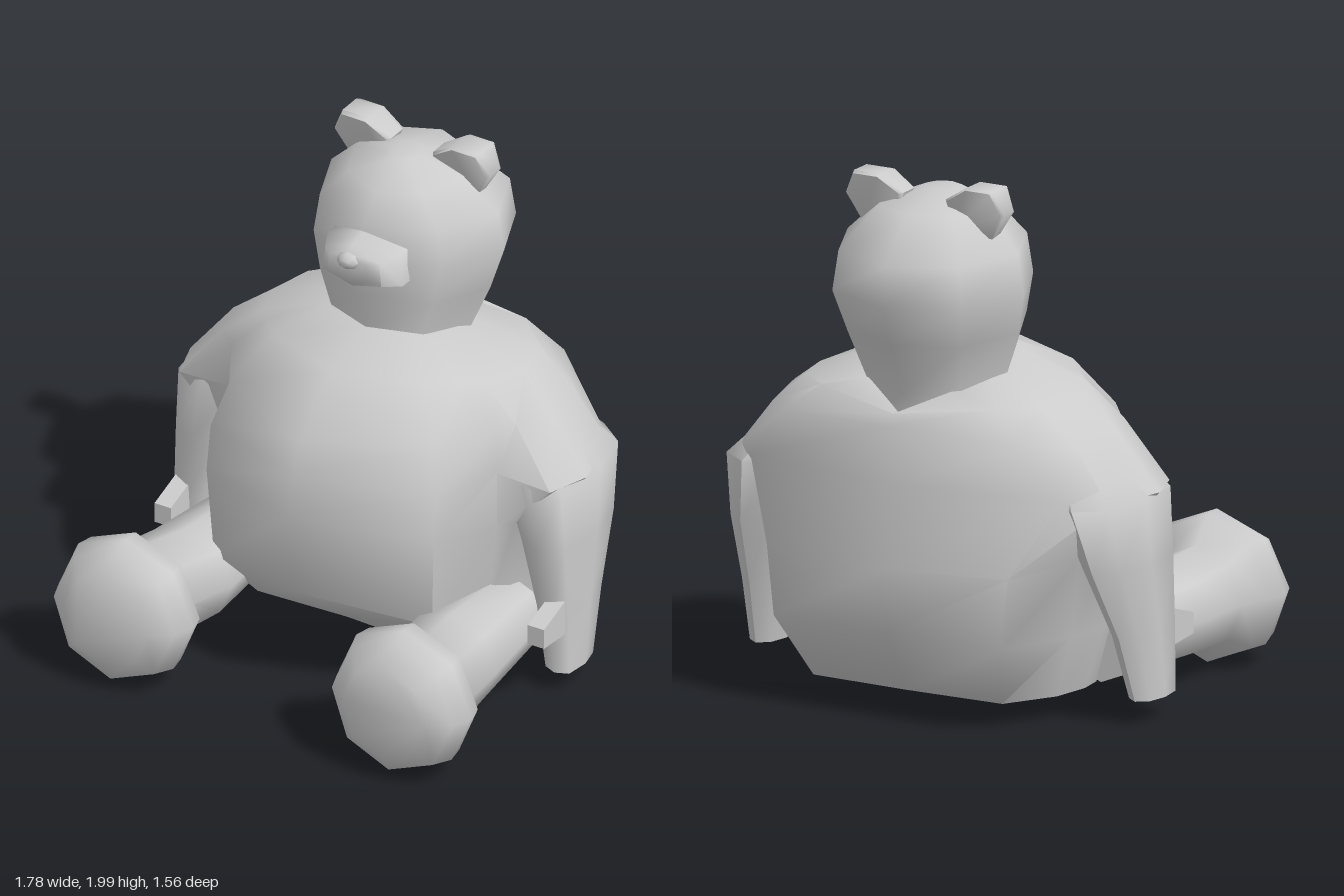
import * as THREE from 'three';
import { toCreasedNormals } from 'three/addons/utils/BufferGeometryUtils.js';

const material = new THREE.MeshStandardMaterial({ color: 0xcccccc });

// Skin closed rings of [x, y, z] points, counter-clockwise seen from the last ring; side -1 mirrors in x.
function loft(name, rings, side = 1, crease = 1.2) {
  const n = rings[0].length, pos = [], index = [];
  for (const ring of rings) {
    const pts = side < 0 ? [...ring].reverse() : ring;
    for (const [x, y, z] of pts) pos.push(x * side, y, z);
  }
  for (let r = 0; r < rings.length - 1; r++) {
    for (let i = 0; i < n; i++) {
      const a = r * n + i, b = r * n + (i + 1) % n;
      index.push(a, b, b + n, a, b + n, a + n);
    }
  }
  // End caps
  const last = (rings.length - 1) * n;
  for (let i = 1; i < n - 1; i++) index.push(0, i + 1, i, last, last + i, last + i + 1);
  const g = new THREE.BufferGeometry();
  g.setAttribute('position', new THREE.Float32BufferAttribute(pos, 3));
  g.setIndex(index);
  const mesh = new THREE.Mesh(toCreasedNormals(g, crease), material);
  mesh.name = name;
  return mesh;
}

// Complete a front-to-back half section on the +x side by mirroring it.
const symmetric = (half) => [...half, ...half.slice(1, -1).reverse().map(([x, y, z]) => [-x, y, z])];

// Eight-point section; point(c, s) places each corner.
const octagon = (point) => Array.from({ length: 8 }, (_, i) => {
  const t = i * Math.PI / 4;
  return point(Math.cos(t), Math.sin(t));
});

// Torso: seat, belly, then shoulders that overhang the sides, up to the neck
function makeBody() {
  const seat = [[0, 0.15, 0.05], [0.42, 0.1, 0], [0.5, 0.1, -0.08], [0.54, 0.1, -0.15],
    [0.55, 0.1, -0.25], [0.52, 0.1, -0.4], [0.4, 0.1, -0.59], [0, 0.1, -0.6]];
  const hips = [[0, 0.46, 0.44], [0.47, 0.35, 0.22], [0.56, 0.35, -0.03], [0.6, 0.35, -0.1],
    [0.63, 0.35, -0.25], [0.61, 0.35, -0.45], [0.48, 0.35, -0.74], [0, 0.35, -0.75]];
  const belly = [[0, 0.79, 0.46], [0.49, 0.72, 0.24], [0.58, 0.68, -0.05], [0.63, 0.68, -0.1],
    [0.66, 0.66, -0.25], [0.64, 0.64, -0.45], [0.51, 0.62, -0.74], [0, 0.6, -0.78]];
  const armpits = [[0, 0.95, 0.42], [0.485, 0.9, 0.22], [0.58, 0.9, -0.05], [0.8, 0.88, -0.065],
    [0.855, 0.88, -0.23], [0.79, 0.88, -0.49], [0.66, 0.9, -0.6], [0, 0.92, -0.76]];
  const shoulders = [[0, 1.07, 0.37], [0.44, 1.07, 0.16], [0.57, 1.07, -0.06], [0.63, 1.1, -0.1],
    [0.68, 1.1, -0.25], [0.64, 1.08, -0.47], [0.5, 1.1, -0.64], [0, 1.13, -0.73]];
  const collar = [[0, 1.27, 0.18], [0.33, 1.25, 0.04], [0.42, 1.23, -0.06], [0.48, 1.22, -0.12],
    [0.54, 1.2, -0.3], [0.5, 1.2, -0.47], [0.36, 1.21, -0.6], [0, 1.17, -0.7]];
  const neck = [[0, 1.33, -0.07], [0.2, 1.33, -0.1], [0.23, 1.32, -0.15], [0.25, 1.31, -0.2],
    [0.26, 1.3, -0.3], [0.25, 1.28, -0.4], [0.18, 1.25, -0.55], [0, 1.14, -0.63]];
  return loft('body', [seat, hips, belly, armpits, shoulders, collar, neck].map(symmetric));
}

function makeHead() {
  // y, half width, front z, back z, drop of the back edge
  const rings = [
    [1.26, 0.27, -0.07, -0.63, 0.2],
    [1.33, 0.28, -0.07, -0.63, 0.1],
    [1.47, 0.345, -0.05, -0.71, 0.04],
    [1.62, 0.385, -0.04, -0.78, 0.03],
    [1.77, 0.36, -0.06, -0.76, 0.03],
    [1.87, 0.23, -0.14, -0.6, -0.03],
    [1.95, 0.07, -0.27, -0.4, 0],
  ].map(([y, w, f, b, drop]) => octagon((c, s) =>
    [w * s, y - drop * (1 - c) / 2, (f + b) / 2 + c * (f - b) / 2]));
  return loft('head', rings);
}

function makeMuzzle() {
  // z and scale of the section about the muzzle centre
  const outline = [[0.155, 1.69], [0, 1.745], [-0.155, 1.69], [-0.167, 1.56], [0, 1.515], [0.167, 1.56]];
  return loft('muzzle', [[-0.12, 1], [-0.06, 1], [0.02, 0.75], [0.05, 0.5]].map(([z, k]) =>
    outline.map(([x, y]) => [x * k, 1.665 + (y - 1.665) * k, z])));
}

function makeNose() {
  return loft('nose', [[0.02, 0.7], [0.05, 1], [0.065, 0.85], [0.08, 0.4]].map(([z, k]) =>
    octagon((c, s) => [0.045 * k * c, 1.675 + 0.035 * k * s, z])));
}

function makeEar(side) {
  // Flat outline whose thickness grows towards the tip
  const outline = [[0.27, 1.8], [0.335, 1.91], [0.295, 2], [0.185, 2], [0.09, 1.94], [0.12, 1.83]];
  const face = (dir, k) => outline.map(([x, y]) => {
    const thick = 0.03 + 0.035 * (y - 1.8) / 0.2;
    return [0.21 + (x - 0.21) * k, 1.91 + (y - 1.91) * k, -0.43 + dir * thick];
  });
  return loft('ear', [face(-1, 0.92), face(-0.7, 1), face(0.7, 1), face(1, 0.92)], side);
}

function makeArm(side) {
  const arm = new THREE.Group();
  arm.name = side > 0 ? 'leftArm' : 'rightArm';
  // y, inner x, outer x, back z, front z; from hand up into the shoulder, squarer along the front
  const rings = [
    [0.1, 0.74, 0.865, -0.32, -0.09],
    [0.35, 0.7, 0.865, -0.4, -0.08],
    [0.62, 0.63, 0.86, -0.53, -0.06],
    [0.87, 0.54, 0.855, -0.6, -0.05],
    [1, 0.5, 0.72, -0.5, -0.12],
  ].map(([y, x0, x1, z0, z1]) => octagon((c, s) => {
    const k = c > 0.1 && c < 0.9 ? 1.15 : 1;
    return [(x0 + x1) / 2 + k * s * (x1 - x0) / 2, y, (z0 + z1) / 2 + k * c * (z1 - z0) / 2];
  }));
  arm.add(loft('armAndHand', rings, side));
  // Thumb pointing forward
  const slab = (z, y0, y1) => [[0.77, y0, z], [0.84, y0, z], [0.84, y1, z], [0.77, y1, z]];
  arm.add(loft('thumb', [slab(-0.2, 0.27, 0.44), slab(-0.08, 0.27, 0.4), slab(0.04, 0.28, 0.36)], side));
  return arm;
}

function makeLeg(side) {
  // z, centre x, centre y, half width, half height; from hip to sole
  const rings = [
    [-0.15, 0.56, 0.26, 0.16, 0.16],
    [0.25, 0.57, 0.265, 0.2, 0.185],
    [0.46, 0.605, 0.28, 0.195, 0.2],
    [0.55, 0.6, 0.295, 0.275, 0.28],
    [0.62, 0.6, 0.295, 0.29, 0.285],
    [0.7, 0.6, 0.295, 0.26, 0.255],
    [0.76, 0.6, 0.3, 0.18, 0.18],
  ].map(([z, cx, cy, w, h]) => octagon((c, s) =>
    [cx + w * c, cy + h * s, z - (z > 0.65 ? 0.1 * h * s : 0)]));
  return loft(side > 0 ? 'leftLeg' : 'rightLeg', rings, side);
}

export function createModel() {
  const bear = new THREE.Group();
  bear.name = 'sittingBear';
  bear.add(makeBody(), makeHead(), makeMuzzle(), makeNose());
  for (const side of [1, -1]) bear.add(makeEar(side), makeArm(side), makeLeg(side));
  return bear;
}
